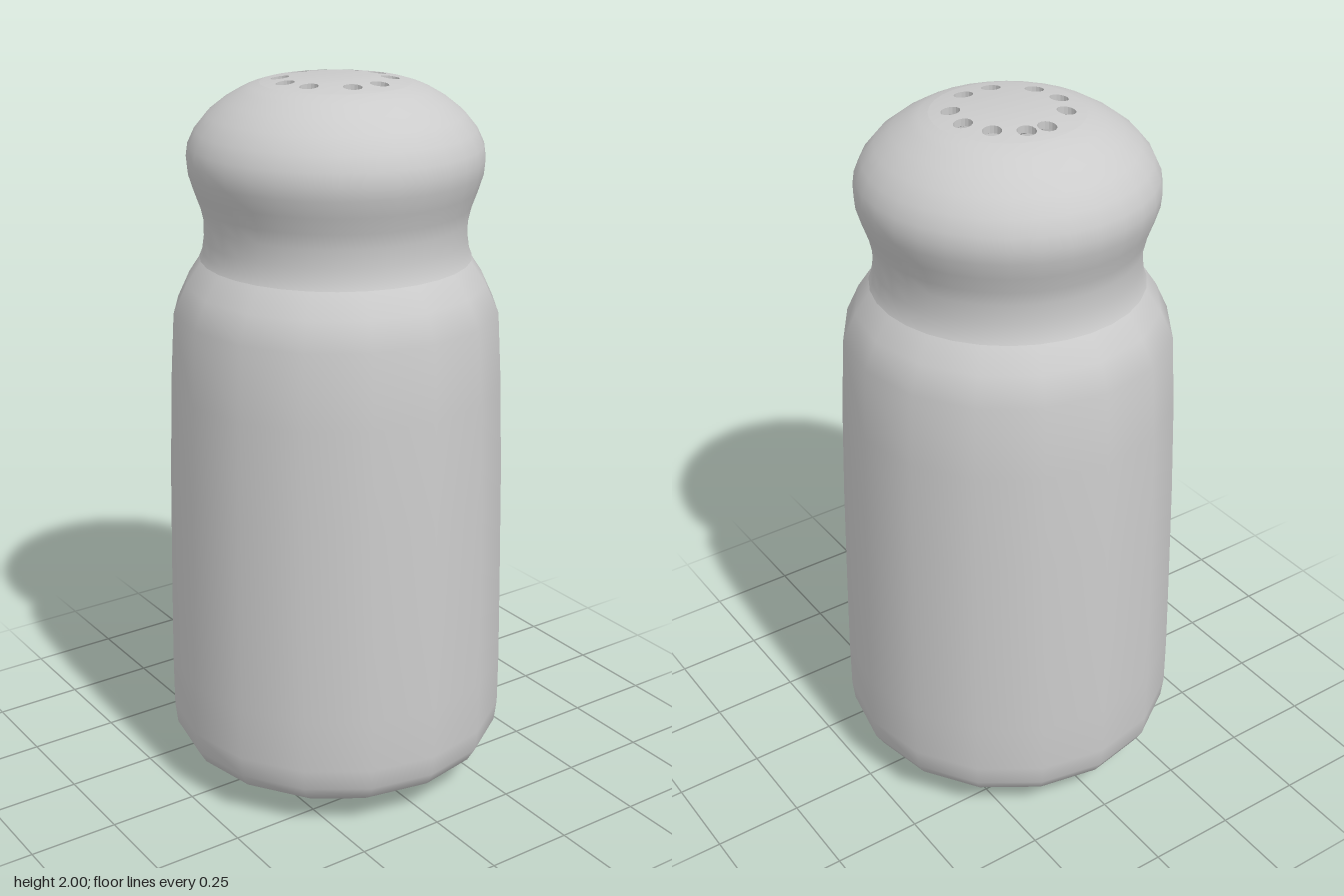
import * as THREE from 'three';

const TOP = 2.0065, BEND = 0.45, PLATE_R = 0.2, PLATE_DEPTH = 0.02;

const material = new THREE.MeshStandardMaterial({ color: 0xcccccc, side: THREE.DoubleSide });

function addMesh(group, name, geometry) {
  const mesh = new THREE.Mesh(geometry, material);
  mesh.name = name;
  group.add(mesh);
}

function lathe(profile, sides) {
  return new THREE.LatheGeometry(profile.map(([r, y]) => new THREE.Vector2(r, y)), sides);
}

// Pierced, gently domed disc that closes the cap
function piercedTop() {
  const holes = [
    [-0.015, -0.148], [0.042, -0.142], [0.112, -0.095], [0.145, -0.017], [0.128, 0.066],
    [0.042, 0.137], [-0.042, 0.137], [-0.128, 0.066], [-0.146, -0.017], [-0.112, -0.095],
  ];
  const ring = (x, z, radius, sides) => Array.from({ length: sides }, (_, i) => {
    const a = (i / sides) * Math.PI * 2;
    return new THREE.Vector2(x + radius * Math.cos(a), -z + radius * Math.sin(a));
  });
  const shape = new THREE.Shape(ring(0, 0, PLATE_R, 32));
  for (const [x, z] of holes) shape.holes.push(new THREE.Path(ring(x, z, 0.025, 16)));

  const geometry = new THREE.ExtrudeGeometry(shape, { depth: PLATE_DEPTH, bevelEnabled: false });
  geometry.rotateX(-Math.PI / 2);
  const pos = geometry.attributes.position, nor = geometry.attributes.normal;
  const n = new THREE.Vector3();
  for (let i = 0; i < pos.count; i++) {
    const x = pos.getX(i), z = pos.getZ(i);
    pos.setY(i, pos.getY(i) + TOP - PLATE_DEPTH - BEND * (x * x + z * z));
    if (Math.abs(nor.getY(i)) > 0.5) {
      n.set(2 * BEND * x, 1, 2 * BEND * z).normalize().multiplyScalar(Math.sign(nor.getY(i)));
      nor.setXYZ(i, n.x, n.y, n.z);
    }
  }
  return geometry;
}

export function createModel() {
  const group = new THREE.Group();
  group.name = 'shaker';

  // Tapered sixteen-sided body with rounded foot and sloping shoulder
  addMesh(group, 'body', lathe([
    [0, 0], [0.2, 0.004], [0.3, 0.022], [0.385, 0.055], [0.45, 0.1], [0.473, 0.14], [0.48, 0.2],
    [0.48, 0.35], [0.475, 0.6], [0.468, 0.9], [0.458, 1.18], [0.445, 1.385],
    [0.41, 1.46], [0.373, 1.515], [0.345, 1.55],
  ], 16));

  // Cap: straight collar, flared neck and rounded dome
  addMesh(group, 'cap', lathe([
    [0.368, 1.525], [0.36, 1.545], [0.355, 1.58], [0.355, 1.63], [0.364, 1.67], [0.38, 1.715],
    [0.394, 1.76], [0.397, 1.795], [0.392, 1.83], [0.373, 1.87], [0.34, 1.91],
    [0.295, 1.945], [0.25, 1.971], [0.225, 1.981], [PLATE_R, TOP - BEND * PLATE_R ** 2],
  ], 32));

  addMesh(group, 'piercedCapTop', piercedTop());
  return group;
}
